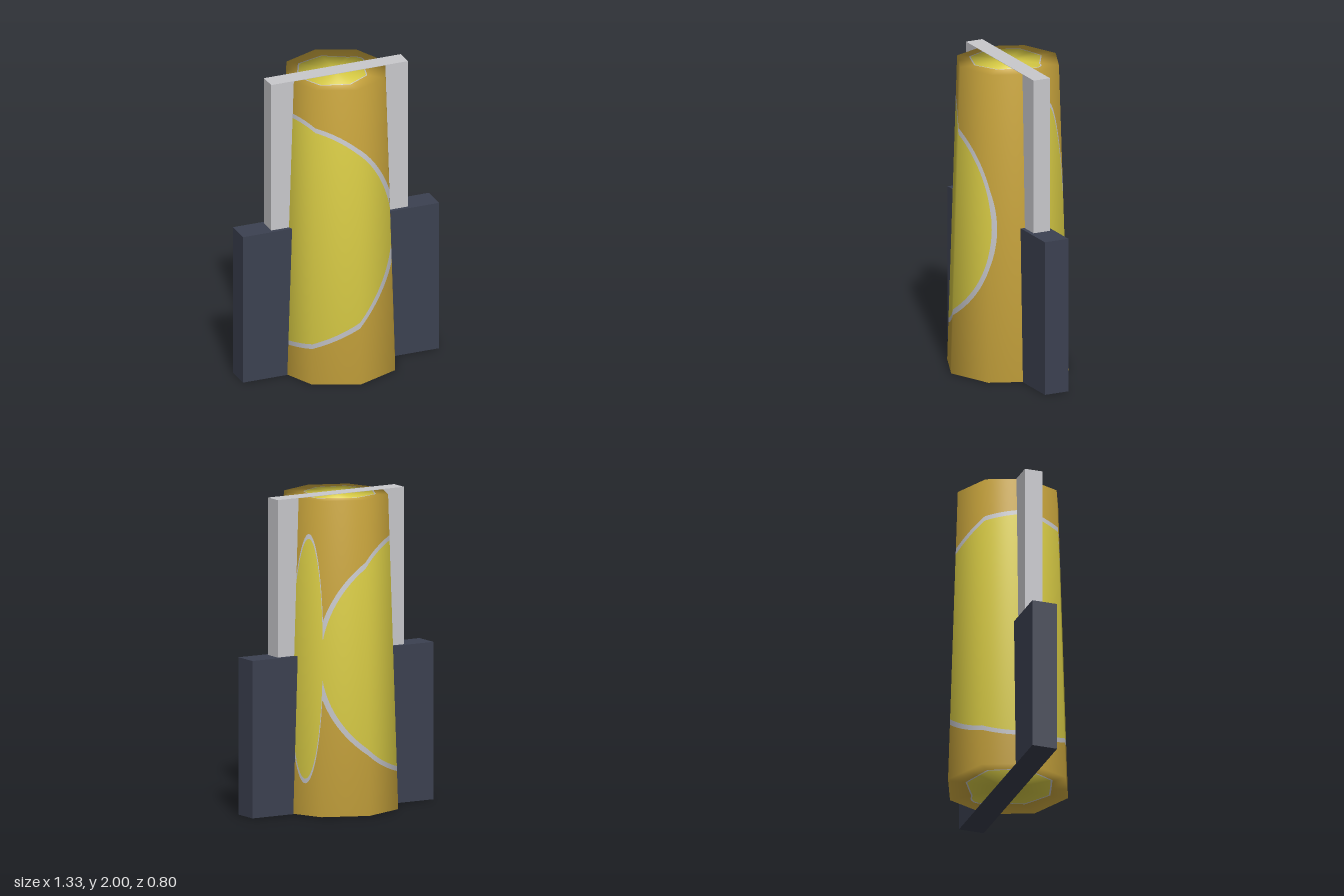
import * as THREE from 'three';

const SIDES = 8;
const Y0 = 0.002, Y1 = 1.998;      // body ends sit just inside the fin and bar
const R0 = 0.4, R1 = 0.335;        // bottom and top radius
const OUTER = 0.395, INNER = 0.38; // painted disc, in wrap units (0..1 around, 0..1 up)

const mat = (name, color) => {
  const m = new THREE.MeshStandardMaterial({ color });
  m.name = name;
  return m;
};

export function createModel() {
  const gold = mat('gold', 0xc9a53d);
  const yellow = mat('yellow', 0xdbce46);
  const grey = mat('light grey', 0xc9c9cd);
  const navy = mat('dark slate', 0x3c4151);

  const group = new THREE.Group();
  group.name = 'finnedTube';

  // One bucket of triangles for each paint colour of the body
  const buckets = { gold: [], ring: [], yellow: [] };

  // Corner of the octagonal body: position and soft outward normal
  const corner = (j, top) => {
    const a = (135 + 45 * j) * Math.PI / 180;
    const r = top ? R1 : R0;
    return {
      p: new THREE.Vector3(Math.sin(a) * r, top ? Y1 : Y0, Math.cos(a) * r),
      n: new THREE.Vector3(Math.sin(a), top ? 0.14 : -0.12, Math.cos(a)).normalize(),
    };
  };
  const hub = top => ({
    p: new THREE.Vector3(0, top ? Y1 : Y0, 0),
    n: new THREE.Vector3(0, top ? 1 : -1, 0),
  });
  const mix = (a, b, t) => ({
    p: a.p.clone().lerp(b.p, t),
    n: a.n.clone().lerp(b.n, t).normalize(),
  });

  // Fill the patch between two lower and two upper corners with bands of colour;
  // rows(t) gives the band limits (0..1, low to high) at t across the patch
  const patch = (l0, l1, h0, h1, ts, rows, paints) => {
    const column = t => {
      const low = mix(l0, l1, t), high = mix(h0, h1, t);
      return rows(t).map(s => mix(low, high, s));
    };
    let left = column(ts[0]);
    for (let i = 1; i < ts.length; i++) {
      const right = column(ts[i]);
      paints.forEach((paint, k) => {
        const [a, b, c, d] = [left[k], right[k], right[k + 1], left[k + 1]];
        for (const tri of [[a, b, c], [a, c, d]]) {
          const area = tri[1].p.clone().sub(tri[0].p).cross(tri[2].p.clone().sub(tri[0].p));
          if (area.length() > 1e-9) buckets[paint].push(...tri);
        }
      });
      left = right;
    }
  };

  const half = (radius, u) => Math.sqrt(Math.max(0, radius * radius - (u - 0.5) ** 2));

  for (let j = 0; j < SIDES; j++) {
    // The last side squeezes the whole wrap, reversed, into one face
    const u0 = (j + 1) / 8, u1 = j < 7 ? (j + 2) / 8 : 1 / 8;
    const uAt = t => u0 + (u1 - u0) * t;

    // Columns across the face, denser at the ends of the disc
    const ts = [];
    for (let i = 0; i <= 40; i++) ts.push(i / 40);
    for (const r of [OUTER, INNER]) for (const s of [-1, 1]) for (const e of [0, 0.0005, 0.002]) {
      const t = (0.5 + s * (r - e) - u0) / (u1 - u0);
      if (t > 0 && t < 1) ts.push(t);
    }
    ts.sort((a, b) => a - b);

    const [b0, b1] = [corner(j, false), corner(j + 1, false)];
    const [t0, t1] = [corner(j, true), corner(j + 1, true)];

    // Side wall
    patch(b0, b1, t0, t1, ts, t => {
      const o = half(OUTER, uAt(t)), i = half(INNER, uAt(t)), c = 0.496;
      return [0, c - o, c - i, c + i, c + o, 1];
    }, ['gold', 'ring', 'yellow', 'ring', 'gold']);

    // End caps, with the same disc pulled in towards the hub
    const reach = (r, t) => r / Math.hypot(uAt(t) - 0.5, 0.5);
    patch(t0, t1, hub(true), hub(true), ts,
      t => [0, 1 - reach(OUTER, t), 1 - reach(INNER, t), 1], ['gold', 'ring', 'yellow']);
    patch(hub(false), hub(false), b0, b1, ts,
      t => [0, reach(INNER, t), reach(OUTER, t), 1], ['yellow', 'ring', 'gold']);
  }

  const addBody = (name, verts, material) => {
    const g = new THREE.BufferGeometry();
    g.setAttribute('position', new THREE.Float32BufferAttribute(verts.flatMap(v => v.p.toArray()), 3));
    g.setAttribute('normal', new THREE.Float32BufferAttribute(verts.flatMap(v => v.n.toArray()), 3));
    const m = new THREE.Mesh(g, material);
    m.name = name;
    group.add(m);
  };
  addBody('body', buckets.gold, gold);
  addBody('discOutline', buckets.ring, grey);
  addBody('discPaint', buckets.yellow, yellow);

  // Flat plates running through the body
  const addPlate = (name, w, h, d, y, material) => {
    const m = new THREE.Mesh(new THREE.BoxGeometry(w, h, d), material);
    m.name = name;
    m.position.y = y;
    group.add(m);
  };
  addPlate('lowerFin', 1.333, 1, 0.165, 0.5, navy);
  addPlate('upperBar', 0.93, 1, 0.115, 1.5, grey);

  return group;
}
